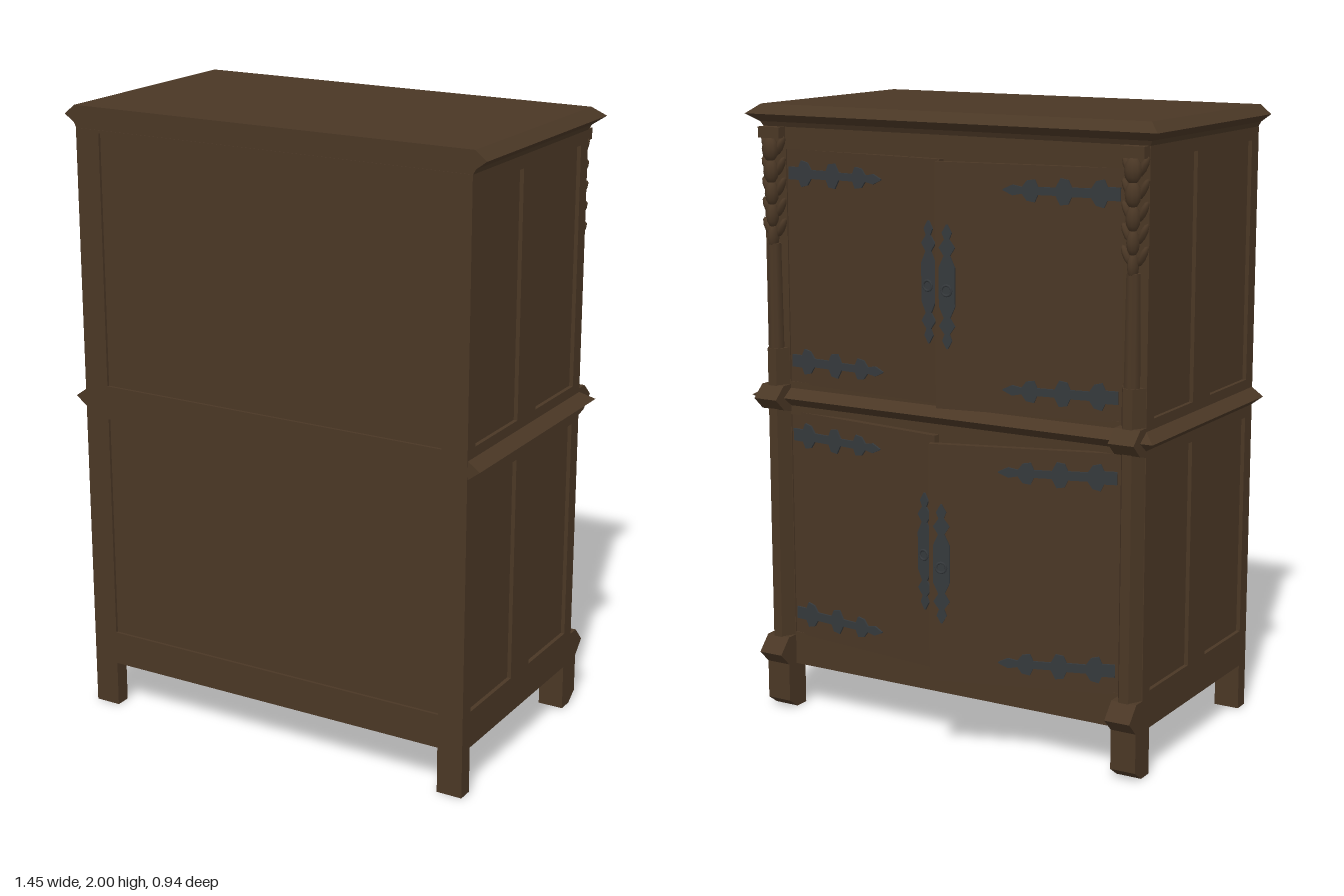
import * as THREE from 'three';

const W = 0.685, FRONT = 0.47, BACK = -0.30, LEG = 0.15, TOP = 1.93;

export function createModel() {
  const root = new THREE.Group();
  root.name = 'cabinet';
  const wood = new THREE.MeshStandardMaterial({ name: 'dark wood', color: 0x4a3725 });
  const iron = new THREE.MeshStandardMaterial({ name: 'dark iron', color: 0x35393c });

  const add = (name, geo, mat = wood, parent = root) => {
    const m = new THREE.Mesh(geo, mat);
    m.name = name;
    parent.add(m);
    return m;
  };
  // box given by its limits on each axis
  const box = (name, x0, x1, y0, y1, z0, z1, mat = wood, parent = root) => {
    const m = add(name, new THREE.BoxGeometry(Math.abs(x1 - x0), y1 - y0, z1 - z0), mat, parent);
    m.position.set((x0 + x1) / 2, (y0 + y1) / 2, (z0 + z1) / 2);
    return m;
  };
  const shapeOf = pts => new THREE.Shape(pts.map(p => new THREE.Vector2(p[0], p[1])));
  const extrude = (pts, depth, holes = []) => {
    const s = shapeOf(pts);
    holes.forEach(([x0, x1, y0, y1]) => s.holes.push(shapeOf([[x0, y0], [x0, y1], [x1, y1], [x1, y0]])));
    return new THREE.ExtrudeGeometry(s, { depth, bevelEnabled: false });
  };

  // end frames with legs: the panelled one and the one holding the doors
  const outline = [[-W, 0], [-0.6, 0], [-0.6, LEG], [0.6, LEG], [0.6, 0], [W, 0], [W, TOP], [-W, TOP]];
  add('panelFrame', extrude(outline, 0.05, [[-0.6, 0.6, 0.26, 1.0], [-0.6, 0.6, 1.11, 1.92]]))
    .position.z = FRONT - 0.05;
  add('doorFrame', extrude(outline, 0.05, [[-0.6, 0.6, 0.26, 1.0], [-0.6, 0.6, 1.11, 1.86]]))
    .position.z = BACK;
  box('rearPanel', -0.62, 0.62, 0.2, TOP, 0.435, 0.461);

  // sides: rails, mullion and sunken panels
  for (const s of [-1, 1]) {
    for (const [y0, y1] of [[LEG, 0.27], [0.995, 1.12], [1.89, TOP]])
      box('sideRail', s * 0.635, s * W, y0, y1, -0.25, 0.42);
    box('sideMullion', s * 0.635, s * W, LEG, TOP, 0.02, 0.145);
    box('sidePanel', s * 0.65, s * 0.672, 0.2, TOP, -0.26, 0.43);
  }
  box('bottomBoard', -0.65, 0.65, 0.235, 0.258, -0.26, 0.44);

  // pointed moulding running round three sides, from [height, overhang] rows
  const moulding = (name, rows) => {
    const pos = [], idx = [];
    rows.forEach(([y, o]) => pos.push(
      -W - o, y, FRONT - 0.002, W + o, y, FRONT - 0.002, W + o, y, BACK - o, -W - o, y, BACK - o));
    for (let r = 0; r < rows.length - 1; r++)
      for (let i = 0; i < 4; i++) {
        const a = r * 4 + i, b = r * 4 + (i + 1) % 4;
        idx.push(a, b, b + 4, a, b + 4, a + 4);
      }
    const t = (rows.length - 1) * 4;
    idx.push(0, 2, 1, 0, 3, 2, t, t + 1, t + 2, t, t + 2, t + 3);
    const g = new THREE.BufferGeometry();
    g.setAttribute('position', new THREE.Float32BufferAttribute(pos, 3));
    g.setIndex(idx);
    const flat = g.toNonIndexed();
    flat.computeVertexNormals();
    add(name, flat);
  };
  moulding('crown', [[TOP, 0], [1.945, 0.008], [1.97, 0.042], [2, 0.005]]);
  moulding('waistMoulding', [[1.03, 0], [1.06, 0.04], [1.088, 0]]);

  // corner posts on the door side
  const post = (x, y0, y1) => {
    const g = extrude([[-0.04, 0], [0.04, 0], [0.016, 0.042], [-0.016, 0.042]], y1 - y0);
    g.rotateX(-Math.PI / 2);
    add('cornerPost', g).position.set(x, y0, BACK);
  };
  const wedge = (name, x, pts) => {
    const g = extrude(pts, 0.085);
    g.rotateY(Math.PI / 2);
    add(name, g).position.set(x - 0.0425, 0, BACK);
  };
  for (const s of [-1, 1]) {
    const x = s * 0.6425;
    post(x, 0.2, 1.03);
    post(x, 1.08, 1.22);
    wedge('postFoot', x, [[0, 0], [0.042, 0.03], [0.042, 0.16], [0, 0.16]]);
    wedge('lowerPostBlock', x, [[0, 0.15], [0.04, 0.155], [0.086, 0.2], [0.04, 0.25], [0, 0.25]]);
    wedge('waistPostBlock', x, [[0, 1.01], [0.04, 1.02], [0.084, 1.06], [0.04, 1.1], [0, 1.1]]);
    const column = add('upperColumn', new THREE.CylinderGeometry(0.022, 0.026, 0.36, 8));
    column.position.set(x, 1.38, BACK - 0.014);
    // carved leaves and bosses below the crown
    for (let i = 0; i < 5; i++) {
      const boss = add('carvedBoss', new THREE.SphereGeometry(1, 10, 6));
      boss.scale.set(0.016 + 0.003 * i, 0.04, 0.024);
      boss.position.set(x, 1.58 + i * 0.07, BACK - 0.018 - 0.002 * i);
      for (const k of [-1, 1]) {
        const leaf = add('carvedLeaf', new THREE.SphereGeometry(1, 8, 5));
        leaf.scale.set(0.012, 0.034, 0.016);
        leaf.position.set(x + k * 0.026, 1.61 + i * 0.065, BACK - 0.008);
        leaf.rotation.z = -k * 0.45;
      }
    }
    box('carvedCap', x - 0.04, x + 0.04, 1.895, TOP, BACK - 0.035, BACK);
  }

  // leafy iron plates, cut from [distance, half width] rows
  const plate = rows => extrude(
    [...rows.map(([x, h]) => [x, -h]), ...rows.slice().reverse().map(([x, h]) => [x, h])], 0.006);
  const strap = plate([[0, 0.02], [0.04, 0.02], [0.05, 0.042], [0.075, 0.036], [0.09, 0.014], [0.15, 0.014],
    [0.16, 0.036], [0.185, 0.04], [0.2, 0.012], [0.255, 0.012], [0.265, 0.034], [0.29, 0.03], [0.305, 0.01],
    [0.335, 0.016], [0.365, 0.002]]);
  const lockPlate = plate([[-0.19, 0.002], [-0.165, 0.016], [-0.145, 0.008], [-0.12, 0.026], [-0.095, 0.01],
    [-0.06, 0.026], [0.06, 0.026], [0.095, 0.01], [0.12, 0.026], [0.145, 0.008], [0.165, 0.016], [0.19, 0.002]]);

  // four doors standing ajar by different angles, hinged at the posts
  const door = (s, y0, degrees) => {
    const g = new THREE.Group();
    g.name = 'door';
    g.position.set(s * 0.6, y0, -0.295);
    g.rotation.y = -s * THREE.MathUtils.degToRad(degrees);
    root.add(g);
    const H = 0.755, L = 0.595;
    box('doorPanel', 0, -s * L, 0, H, 0, 0.022, wood, g);
    for (const y of [0.075, H - 0.075]) {
      const m = add('strapHinge', strap, iron, g);
      // turn the plate for the side whose strap runs the other way
      m.rotation.y = s > 0 ? Math.PI : 0;
      m.position.set(-s * 0.01, y, s > 0 ? 0 : -0.006);
    }
    const lock = add('lockPlate', lockPlate, iron, g);
    lock.rotation.z = Math.PI / 2;
    lock.position.set(-s * (L - 0.04), H / 2, -0.006);
    const ring = add('pullRing', new THREE.TorusGeometry(0.016, 0.004, 6, 12), iron, g);
    ring.position.set(-s * (L - 0.04), H / 2 - 0.01, -0.009);
  };
  door(-1, 0.255, 17);
  door(-1, 1.105, 9.8);
  door(1, 0.255, 7);
  door(1, 1.105, 4);

  return root;
}
